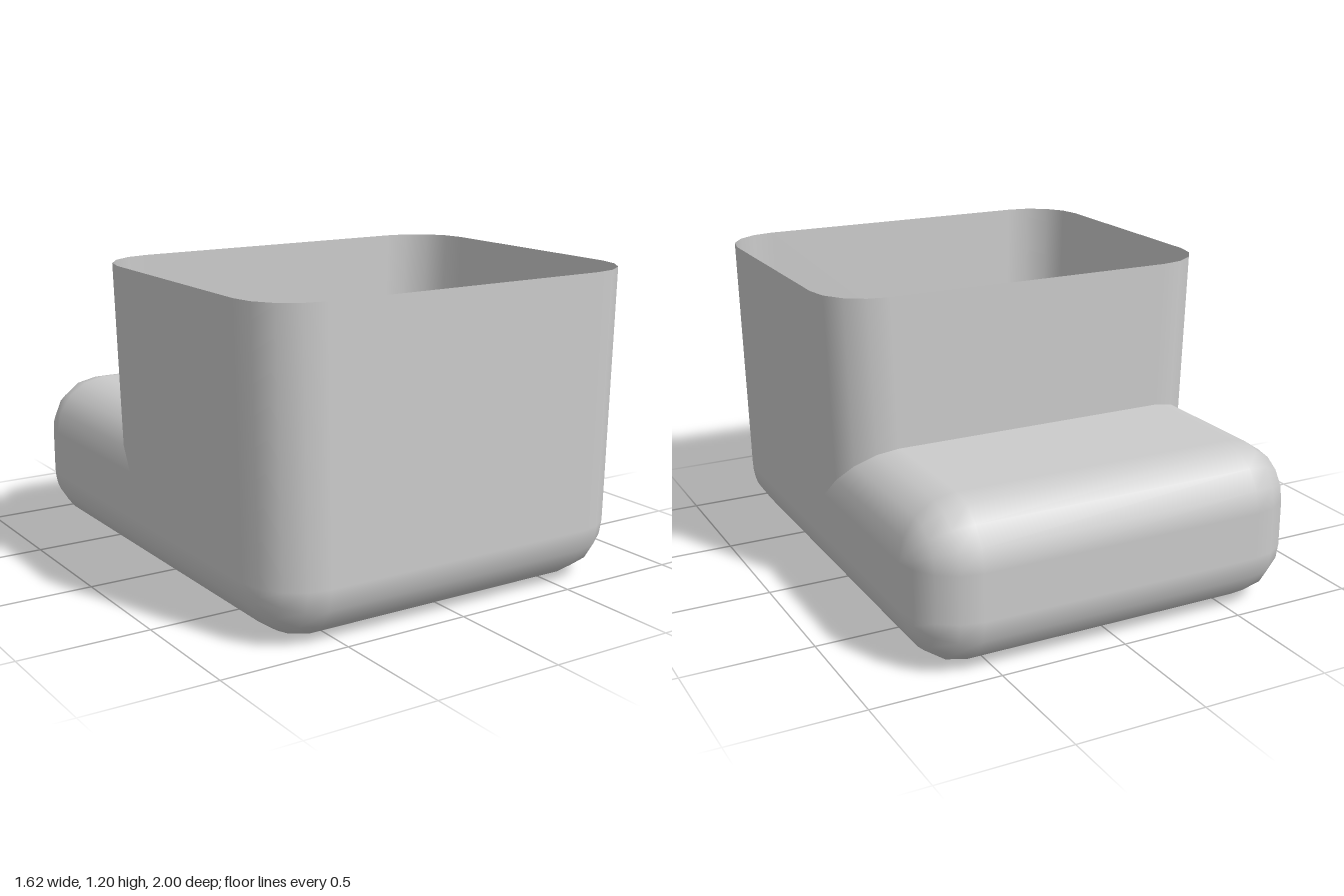
import * as THREE from 'three';

const R = 0.22;        // radius of all rounded edges
const STEPS = 4;       // segments per quarter round
const HALF = 0.787;    // half width of the body
const FLARE = 0.811 / HALF; // slight widening at the open rim
const RIM = 1.2, LEDGE = 0.62, BACK = -0.3;

// L-shaped side outline, inset by d: list of [z, y, normalZ, normalY]
function outline(d) {
  const pts = [[1 - d, RIM, 1, 0]];
  const centres = [[1 - R, R], [-1 + R, R], [-1 + R, LEDGE - R]];
  centres.forEach(([cz, cy], k) => {
    for (let i = 0; i <= STEPS; i++) {
      const a = (k + i / STEPS) * Math.PI / 2;
      const nz = Math.cos(a), ny = -Math.sin(a);
      pts.push([cz + nz * (R - d), cy + ny * (R - d), nz, ny]);
    }
  });
  // inner corner is doubled so that it stays sharp
  pts.push([BACK + d, LEDGE - d, 0, 1], [BACK + d, LEDGE - d, -1, 0], [BACK + d, RIM, -1, 0]);
  return pts;
}

function shellGeometry() {
  const pos = [], nor = [], idx = [];
  const add = (x, [z, y], n) => {
    pos.push(y === RIM ? x * FLARE : x, y, z);
    nor.push(...n);
  };

  // rings across the width, from right side to left side
  const rings = [];
  for (let i = STEPS; i >= 0; i--) rings.push([-1, i]);
  for (let i = 0; i <= STEPS; i++) rings.push([1, i]);
  const count = outline(0).length;
  const inner = 1 + 3 * (STEPS + 1); // index of the inner corner
  rings.forEach(([side, i], row) => {
    const t = i / STEPS * Math.PI / 2, s = Math.sin(t), c = Math.cos(t);
    for (const p of outline(R * (1 - c))) {
      add(side * (HALF - R + R * s), p, [side * s, c * p[3], c * p[2]]);
    }
    if (row === 0) return;
    for (let j = 0; j < count - 1; j++) {
      if (j === inner) continue;
      const a = (row - 1) * count + j, b = row * count + j;
      idx.push(a, a + 1, b, b, a + 1, b + 1);
    }
  });
  // the wall above the inner corner
  for (let row = 1; row < rings.length; row++) {
    const a = (row - 1) * count + inner + 1, b = a + count;
    if (!idx.includes(a)) idx.push(a, a + 1, b, b, a + 1, b + 1);
  }

  // flat L-shaped side panels
  const corners = [[1 - R, RIM], [1 - R, R], [-1 + R, R], [-1 + R, LEDGE - R], [BACK + R, LEDGE - R], [BACK + R, RIM]];
  for (const side of [-1, 1]) {
    const o = pos.length / 3;
    corners.forEach(p => add(side * HALF, p, [side, 0, 0]));
    for (const [a, b, c] of [[0, 1, 4], [0, 4, 5], [1, 2, 3], [1, 3, 4]]) {
      idx.push(o + a, o + (side > 0 ? b : c), o + (side > 0 ? c : b));
    }
  }

  const geo = new THREE.BufferGeometry();
  geo.setAttribute('position', new THREE.Float32BufferAttribute(pos, 3));
  geo.setAttribute('normal', new THREE.Float32BufferAttribute(nor, 3));
  geo.setIndex(idx);
  return geo;
}

export function createModel() {
  const group = new THREE.Group();
  group.name = 'openContainer';
  // thin hollow shell: open tall tub with a low rounded extension behind
  const shell = new THREE.Mesh(
    shellGeometry(),
    new THREE.MeshStandardMaterial({ color: 0xcccccc, side: THREE.DoubleSide })
  );
  shell.name = 'shell';
  group.add(shell);
  return group;
}
